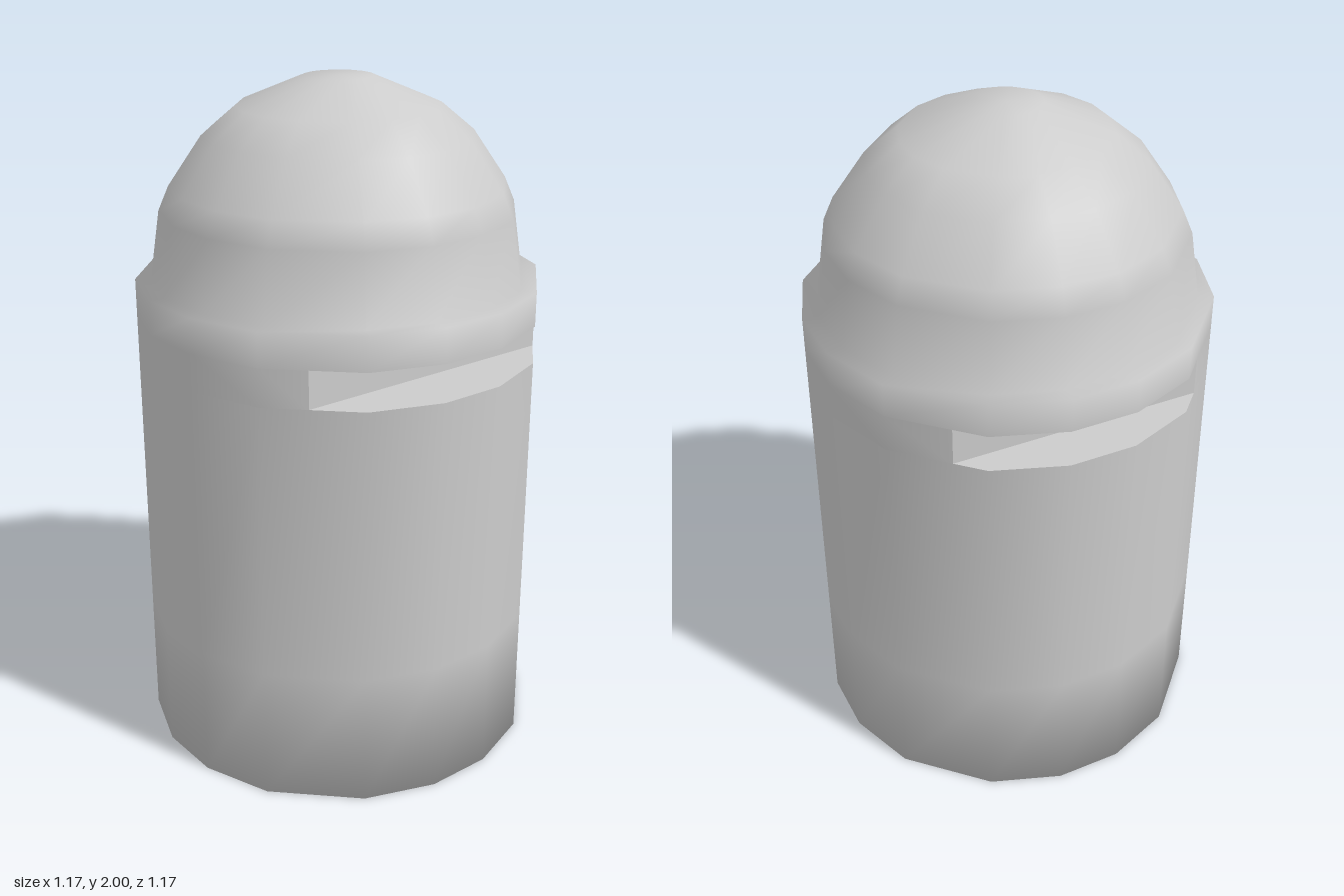
import * as THREE from 'three';
import { toCreasedNormals } from 'three/addons/utils/BufferGeometryUtils.js';

const HALF = 0.585;

// Sixteen-sided plan outline, as [x, z], mirrored from one quadrant
const quadrant = [[0.585, 0.1], [0.51, 0.305], [0.305, 0.51], [0.1, 0.585]];
const plan = [
  ...quadrant,
  ...quadrant.map(([x, z]) => [-x, z]).reverse(),
  ...quadrant.map(([x, z]) => [-x, -z]),
  ...quadrant.map(([x, z]) => [x, -z]).reverse(),
];

// Joins scaled copies of the plan; rings are [halfWidth, y], a repeated ring makes a sharp edge
function loft(rings) {
  const positions = [], index = [], n = plan.length;
  for (const [w, y] of rings) {
    for (const [x, z] of plan) positions.push(x * w / HALF, y, z * w / HALF);
  }
  for (let i = 0; i < rings.length - 1; i++) {
    for (let j = 0; j < n; j++) {
      const a = i * n + j, b = i * n + (j + 1) % n;
      index.push(a, a + n, b, b, a + n, b + n);
    }
  }
  const geometry = new THREE.BufferGeometry();
  geometry.setAttribute('position', new THREE.Float32BufferAttribute(positions, 3));
  geometry.setIndex(index);
  geometry.computeVertexNormals();
  return geometry;
}

export function createModel() {
  const group = new THREE.Group();
  const grey = new THREE.MeshStandardMaterial({ color: 0xcccccc });
  const add = (name, geometry) => {
    const mesh = new THREE.Mesh(geometry, grey);
    mesh.name = name;
    group.add(mesh);
  };
  const slotBottom = 1.22, slotTop = 1.33;

  // Body below the side slots, softly shaded into its base
  add('lowerBody', loft([
    [0, 0], [HALF, 0], [HALF, 0.4], [HALF, slotBottom], [HALF, slotBottom], [0, slotBottom],
  ]));

  // Narrowed layer between the slots, cut flat on both sides
  const left = 0.4, right = -0.44;
  const cut = [
    [left, 0.415], [0.305, 0.51], [0.1, 0.585], [-0.1, 0.585], [-0.305, 0.51], [right, 0.375],
  ];
  const outline = [...cut, ...cut.map(([x, z]) => [x, -z]).reverse()];
  const shape = new THREE.Shape(outline.map(([x, z]) => new THREE.Vector2(x, z)));
  const core = new THREE.ExtrudeGeometry(shape, { depth: slotTop - slotBottom, bevelEnabled: false });
  core.rotateX(-Math.PI / 2);
  core.translate(0, slotBottom, 0);
  add('slottedCore', toCreasedNormals(core, 0.7));

  // Rim above the slots, with its ledge running into the dome
  add('rimAndDome', loft([
    [0, slotTop], [HALF, slotTop], [HALF, slotTop], [HALF, 1.43],
    [0.54, 1.43], [0.51, 1.63], [0.48, 1.7], [0.385, 1.84], [0.29, 1.92], [0.1, 2], [0, 2],
  ]));

  return group;
}
